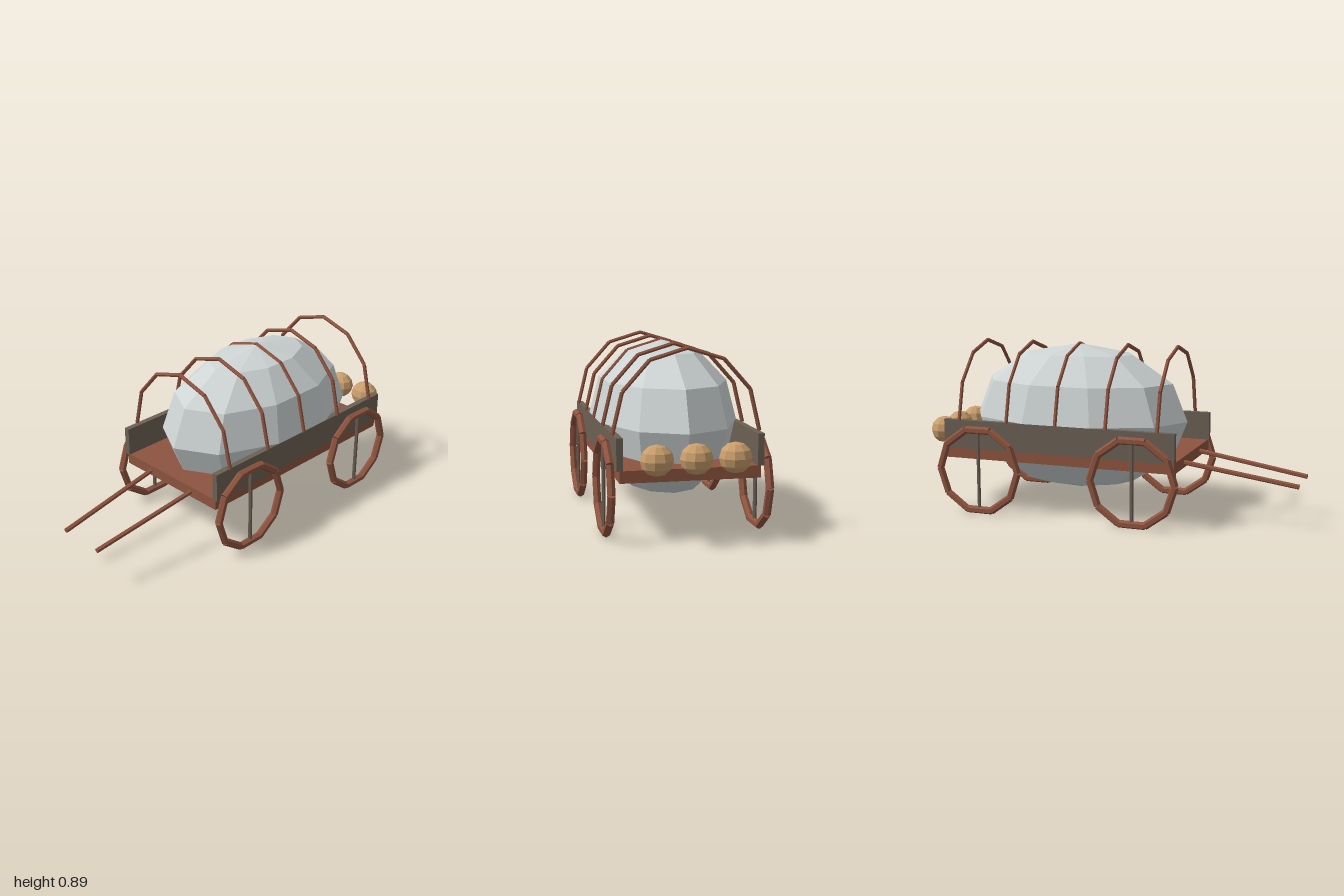
import * as THREE from 'three';

const material = (name, color) => {
  const m = new THREE.MeshStandardMaterial({ color, flatShading: true });
  m.name = name;
  return m;
};

export function createModel() {
  const wood = material('red brown wood', 0x8e5440);
  const board = material('grey brown wood', 0x6b6054);
  const canvas = material('pale canvas', 0xcdd3d3);
  const tan = material('tan sack', 0xc99e6c);

  const wagon = new THREE.Group();
  wagon.name = 'wagon';

  const add = (parent, name, geometry, mat, x = 0, y = 0, z = 0) => {
    const mesh = new THREE.Mesh(geometry, mat);
    mesh.name = name;
    mesh.position.set(x, y, z);
    parent.add(mesh);
    return mesh;
  };

  // Six-sided pole between two points
  const pole = (parent, name, a, b, radius, mat) => {
    const dir = b.clone().sub(a);
    const mid = a.clone().add(b).multiplyScalar(0.5);
    const mesh = add(parent, name, new THREE.CylinderGeometry(radius, radius, dir.length(), 6), mat, mid.x, mid.y, mid.z);
    mesh.quaternion.setFromUnitVectors(new THREE.Vector3(0, 1, 0), dir.normalize());
  };

  // Bed
  add(wagon, 'bed', new THREE.BoxGeometry(0.66, 0.057, 1.26), wood, 0, 0.3125, -0.21);

  // Canvas cover, an egg-shaped faceted body with a vertex on the long axis
  const cover = new THREE.SphereGeometry(1, 10, 6);
  cover.rotateY(Math.PI / 2).scale(0.36, 0.39, 0.6);
  add(wagon, 'cover', cover, canvas, 0, 0.49, -0.208);

  // Hoops over the cover, each made of six straight pieces
  for (const z of [0.336, 0.065, -0.207, -0.479, -0.75]) {
    const hoop = new THREE.Group();
    hoop.name = 'hoop';
    hoop.position.set(0, 0.49, z);
    const at = (i) => new THREE.Vector3(0.348 * Math.cos(i * Math.PI / 6), 0.39 * Math.sin(i * Math.PI / 6), 0);
    for (let i = 0; i < 6; i++) pole(hoop, 'hoopPiece', at(i), at(i + 1), 0.01, wood);
    wagon.add(hoop);
  }

  for (const side of [1, -1]) {
    // Side boards and pulling shafts
    add(wagon, 'sideBoard', new THREE.BoxGeometry(0.03, 0.15, 1.265), board, side * 0.33, 0.415, -0.208);
    pole(wagon, 'shaft', new THREE.Vector3(side * 0.15, 0.312, 0.41),
      new THREE.Vector3(side * 0.12, 0.223, 1), 0.0125, wood);

    // Ten-piece wheels with a single upright spoke
    for (const z of [0.213, -0.632]) {
      const wheel = new THREE.Group();
      wheel.name = 'wheel';
      wheel.position.set(side * 0.37, 0.234, z);
      const at = (i) => new THREE.Vector3(0, 0.223 * Math.sin(i * Math.PI / 5), 0.223 * Math.cos(i * Math.PI / 5));
      for (let i = 0; i < 10; i++) pole(wheel, 'rimPiece', at(i), at(i + 1), 0.02, wood);
      add(wheel, 'spoke', new THREE.CylinderGeometry(0.01, 0.01, 0.42, 6), board);
      wagon.add(wheel);
    }
  }

  // Sacks behind the bed
  for (const x of [-0.18, 0, 0.18]) {
    add(wagon, 'sack', new THREE.SphereGeometry(1, 10, 6).scale(0.078, 0.072, 0.07), tan, x, 0.402, -0.933);
  }

  return wagon;
}
